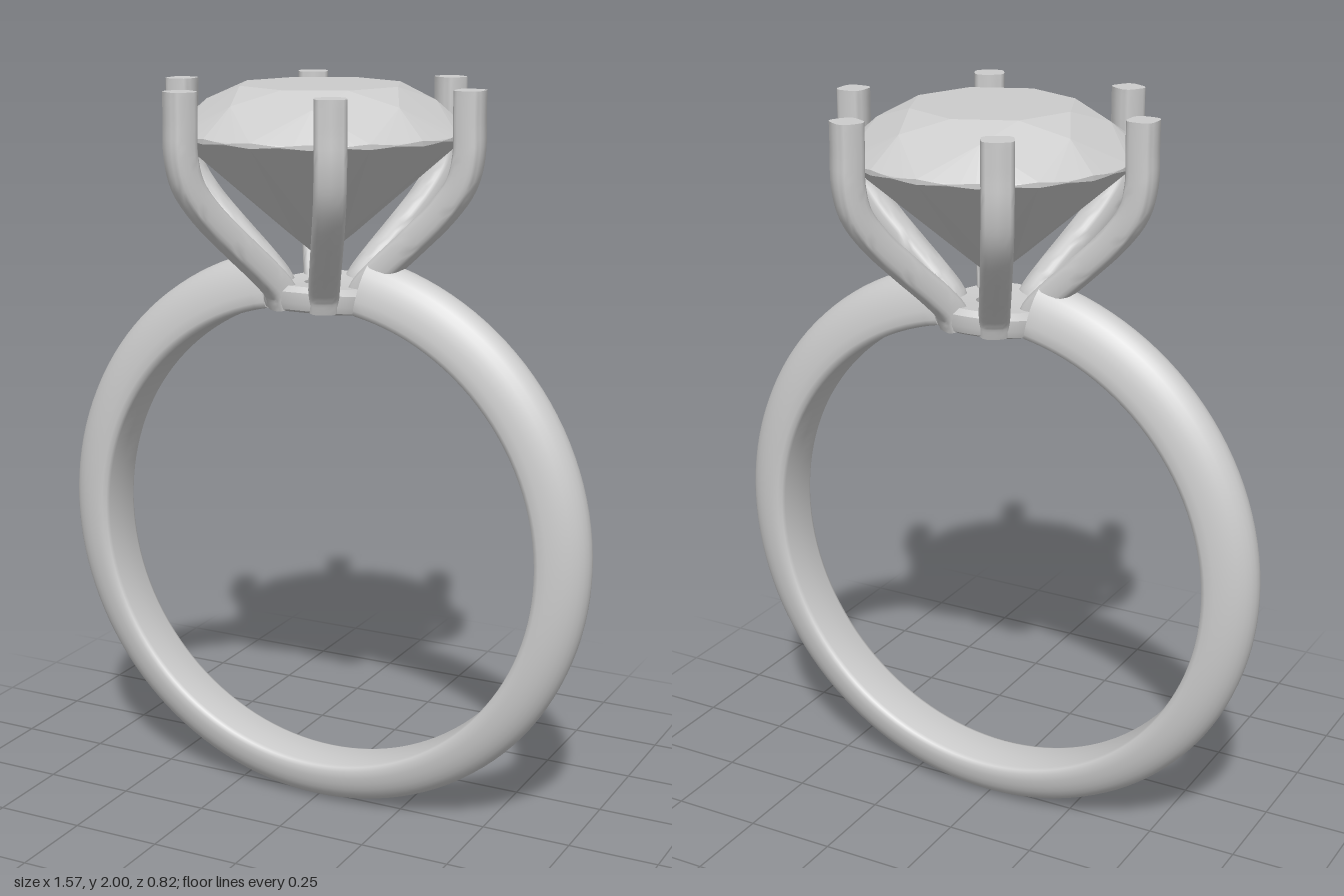
import * as THREE from 'three';
import { toCreasedNormals } from 'three/addons/utils/BufferGeometryUtils.js';
import { ConvexGeometry } from 'three/addons/geometries/ConvexGeometry.js';

const TAU = Math.PI * 2;

// Skin a list of equal cross-section rings and cap both ends
function loft(rings, crease) {
  const n = rings[0].length, pos = [], idx = [];
  rings.forEach((ring) => ring.forEach((p) => pos.push(p.x, p.y, p.z)));
  for (let j = 0; j < rings.length - 1; j++) {
    for (let i = 0; i < n; i++) {
      const a = j * n + i, b = j * n + (i + 1) % n;
      idx.push(a, b, b + n, a, b + n, a + n);
    }
  }
  const cap = (j, flip) => {
    const c = new THREE.Vector3();
    rings[j].forEach((p) => c.addScaledVector(p, 1 / n));
    const k = pos.push(c.x, c.y, c.z) / 3 - 1;
    for (let i = 0; i < n; i++) {
      const a = j * n + i, b = j * n + (i + 1) % n;
      if (flip) idx.push(k, b, a); else idx.push(k, a, b);
    }
  };
  cap(0, true);
  cap(rings.length - 1, false);
  const g = new THREE.BufferGeometry();
  g.setAttribute('position', new THREE.Float32BufferAttribute(pos, 3));
  g.setIndex(idx);
  return toCreasedNormals(g, crease);
}

// Domed band, slightly thicker towards the top, open under the setting
function bandGeometry() {
  const section = [];
  for (let i = 0; i <= 16; i++) {
    const t = -Math.PI / 2 + Math.PI * i / 16;
    section.push([0.12 + 0.88 * Math.cos(t), 0.078 * Math.sin(t)]);
  }
  section.push([0.03, 0.073], [0, 0.062], [0, 0], [0, -0.062], [0.03, -0.073]);
  const rings = [], gap = 0.2, steps = 120;
  for (let j = 0; j <= steps; j++) {
    const a = gap + (TAU - 2 * gap) * j / steps;
    rings.push(section.map(([u, z]) => {
      const r = 0.65 + 0.135 * u;
      return new THREE.Vector3(r * Math.sin(a), 0.77 + 0.015 * u + r * Math.cos(a), z);
    }));
  }
  return loft(rings, 0.9);
}

// Claw with a rounded square section, curving in towards the base
function prongGeometry() {
  const path = new THREE.CatmullRomCurve3([
    [0.42, 2], [0.42, 1.92], [0.42, 1.84], [0.402, 1.765], [0.35, 1.69],
    [0.26, 1.6], [0.175, 1.52], [0.13, 1.47], [0.115, 1.43],
  ].map(([x, y]) => new THREE.Vector3(x, y, 0)));
  const soften = (v) => Math.sign(v) * Math.pow(Math.abs(v), 0.6);
  const rings = [];
  for (let j = 0; j <= 32; j++) {
    const p = path.getPoint(j / 32);
    const d = j === 0 ? new THREE.Vector3(0, -1, 0) : path.getTangent(j / 32);
    const ring = [];
    for (let i = 0; i < 20; i++) {
      const t = TAU * i / 20;
      const n = 0.038 * soften(Math.cos(t)), b = 0.041 * soften(Math.sin(t));
      ring.push(new THREE.Vector3(p.x - d.y * n, p.y + d.x * n, b));
    }
    rings.push(ring);
  }
  return loft(rings, 0.8);
}

// Base ring of the setting, its underside following the finger hole
function baseGeometry() {
  const profile = [
    [0.045, 1.48], [0.045, 1.42], [0.135, 1.42], [0.147, 1.427],
    [0.153, 1.445], [0.153, 1.475], [0.135, 1.488], [0.045, 1.48],
  ].map(([x, y]) => new THREE.Vector2(x, y));
  const g = new THREE.LatheGeometry(profile, 48);
  const p = g.attributes.position;
  for (let i = 0; i < p.count; i++) {
    p.setY(i, p.getY(i) - p.getX(i) ** 2 / 1.3);
  }
  return toCreasedNormals(g, 0.7);
}

// Round brilliant cut: table, star, kite and girdle facets, then the pavilion
function gemGeometry() {
  const pts = [];
  const add = (angle, r, y) => pts.push(new THREE.Vector3(r * Math.sin(angle), y, r * Math.cos(angle)));
  for (let k = 0; k < 8; k++) {
    const a = TAU * k / 8, half = a + TAU / 16;
    add(a, 0.22, 2);
    add(half, 0.3, 1.96);
    add(half, 0.09, 1.612);
  }
  for (let k = 0; k < 64; k++) {
    const a = TAU * k / 64, wave = 0.006 * Math.sin(8 * a) ** 2;
    add(a, 0.387, 1.885 - wave);
    add(a, 0.387, 1.871 + wave);
  }
  add(0, 0, 1.54);
  return new ConvexGeometry(pts);
}

export function createModel() {
  const model = new THREE.Group();
  model.name = 'solitaireRing';
  const silver = new THREE.MeshStandardMaterial({ color: 0xcccccc });
  silver.name = 'silver grey';

  const addPart = (name, geometry, parent = model) => {
    const mesh = new THREE.Mesh(geometry, silver);
    mesh.name = name;
    parent.add(mesh);
    return mesh;
  };

  addPart('band', bandGeometry());
  addPart('settingBase', baseGeometry());
  addPart('gemstone', gemGeometry());

  // Six claws around the stone
  const prongs = new THREE.Group();
  prongs.name = 'prongs';
  model.add(prongs);
  const prong = prongGeometry();
  for (let i = 0; i < 6; i++) {
    addPart('prong' + (i + 1), prong, prongs).rotation.y = TAU * i / 6;
  }
  return model;
}
